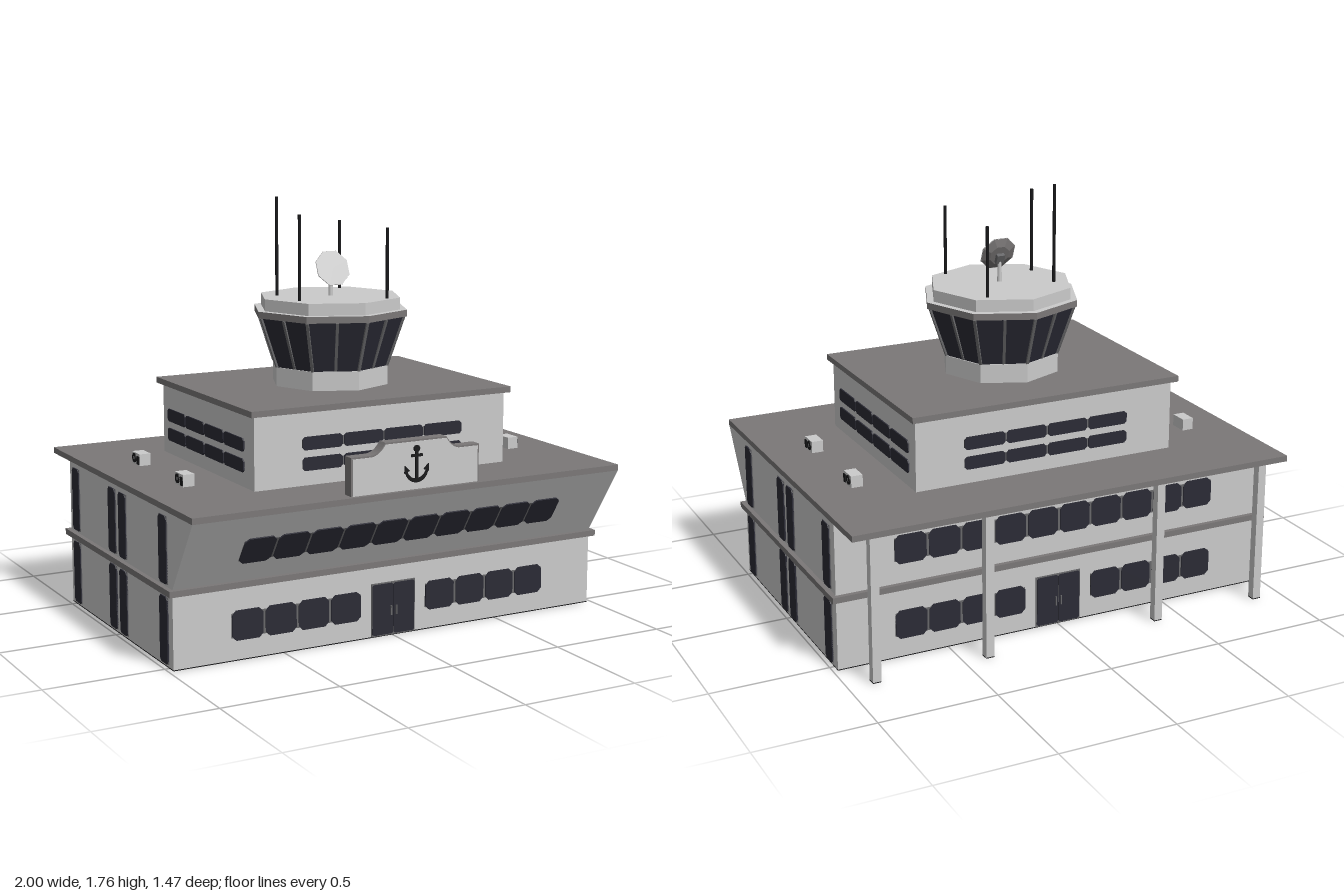
import * as THREE from 'three';

const mat = (name, color) => Object.assign(new THREE.MeshStandardMaterial({ color }), { name });

export function createModel() {
  const model = new THREE.Group();
  model.name = 'harborControlBuilding';
  const wall = mat('lightWall', 0xcbcbcb);
  const trim = mat('roofGrey', 0x7b7878);
  const frame = mat('frameGrey', 0x68686a);
  const glass = mat('darkGlass', 0x2b2b35);
  const black = mat('black', 0x18181a);

  // ---- helpers ----
  const add = (parent, name, geo, material, x = 0, y = 0, z = 0) => {
    const m = new THREE.Mesh(geo, material);
    m.name = name;
    m.position.set(x, y, z);
    parent.add(m);
    return m;
  };
  const box = (parent, name, material, x0, x1, y0, y1, z0, z1) =>
    add(parent, name, new THREE.BoxGeometry(x1 - x0, y1 - y0, z1 - z0), material,
      (x0 + x1) / 2, (y0 + y1) / 2, (z0 + z1) / 2);
  const group = (name, parent = model) => {
    const g = new THREE.Group();
    g.name = name;
    parent.add(g);
    return g;
  };
  const flat = (geo) => {
    const g = geo.toNonIndexed();
    g.computeVertexNormals();
    return g;
  };
  const octagon = (rTop, rBottom, h, open = false) =>
    flat(new THREE.CylinderGeometry(rTop, rBottom, h, 8, 1, open));
  const polygon = (pts) => new THREE.Shape(pts.map(([x, y]) => new THREE.Vector2(x, y)));
  const extrude = (shape, depth) =>
    new THREE.ExtrudeGeometry(shape, { depth, bevelEnabled: false, curveSegments: 8 });

  // Plate with clipped corners, used for every window pane
  const pane = (w, h, c) => {
    const a = w / 2, b = h / 2;
    return extrude(polygon([[-a + c, -b], [a - c, -b], [a, -b + c], [a, b - c],
      [a - c, b], [-a + c, b], [-a, b - c], [-a, -b + c]]), 0.006);
  };
  // Row of panes over a grey backing strip, facing local +z
  const windowRow = (name, count, pitch, w, h, c, backH) => {
    const g = group(name);
    add(g, 'windowFrame', new THREE.BoxGeometry(pitch * (count - 1) + w, backH, 0.006), frame);
    const geo = pane(w, h, c);
    for (let i = 0; i < count; i++) add(g, 'pane', geo, glass, (i - (count - 1) / 2) * pitch, 0, 0.001);
    return g;
  };
  const place = (g, x, y, z, ry = 0, rx = 0) => {
    g.position.set(x, y, z);
    g.rotation.set(rx, ry, 0);
  };

  // ---- main building ----
  box(model, 'groundFloor', wall, -0.98, 0.98, 0.004, 0.31, -0.54, 0.54);
  box(model, 'underside', black, -0.98, 0.98, 0, 0.004, -0.54, 0.54);
  box(model, 'floorBelt', trim, -1, 1, 0.3, 0.325, -0.56, 0.56);
  const upper = extrude(polygon([[-0.54, 0.31], [0.53, 0.31], [0.54, 0.325], [0.735, 0.625], [-0.54, 0.625]]), 1.96);
  upper.translate(0, 0, -0.98);
  upper.rotateY(-Math.PI / 2);
  add(model, 'upperFloor', upper, wall);
  box(model, 'mainRoof', trim, -0.981, 0.981, 0.625, 0.65, -0.735, 0.735);

  // Columns under the rear overhang
  for (const x of [-0.88, -0.39, 0.39, 0.88]) {
    box(model, 'rearColumn', wall, x - 0.018, x + 0.018, 0.004, 0.625, -0.705, -0.669);
    box(model, 'columnFoot', black, x - 0.018, x + 0.018, 0, 0.004, -0.705, -0.669);
  }

  // Long facades: window rows and double doors, front and back
  for (const s of [1, -1]) {
    const ry = s > 0 ? 0 : Math.PI;
    for (const x of [-0.442, 0.442])
      place(windowRow('groundWindows', 4, 0.147, 0.136, 0.122, 0.018, 0.1), x, 0.145, s * 0.541, ry);
    const door = group('doubleDoor');
    add(door, 'doorFrame', new THREE.BoxGeometry(0.206, 0.224, 0.006), frame, 0, 0.112, 0);
    for (const k of [-1, 1]) {
      const leaf = pane(0.097, 0.214, 0.006);
      add(door, 'doorLeaf', leaf, glass, k * 0.05, 0.112, 0.001);
      add(door, 'doorHandle', new THREE.BoxGeometry(0.005, 0.04, 0.006), frame, k * 0.012, 0.105, 0.009);
    }
    place(door, 0, 0.004, s * 0.541, ry);
  }
  const tilt = Math.atan2(0.195, 0.3);
  place(windowRow('slopedWindows', 10, 0.147, 0.136, 0.135, 0.018, 0.11), 0, 0.47, 0.635, 0, tilt);
  place(windowRow('rearUpperWindows', 10, 0.147, 0.136, 0.122, 0.018, 0.1), 0, 0.47, -0.541, Math.PI);

  // Tall windows on both ends
  for (const s of [1, -1])
    for (const z of [0.465, 0.057, -0.053, -0.462])
      for (const [y, h] of [[0.15, 0.27], [0.472, 0.27]])
        place(windowRow('tallWindow', 1, 0, 0.074, h, 0.012, h), s * 0.981, y, z, s * Math.PI / 2);

  // ---- third storey ----
  box(model, 'thirdFloor', wall, -0.585, 0.585, 0.65, 0.955, -0.43, 0.455);
  box(model, 'thirdFloorRoof', trim, -0.606, 0.606, 0.95, 0.975, -0.457, 0.475);
  for (const y of [0.738, 0.822]) {
    const row = () => windowRow('thirdFloorWindows', 4, 0.188, 0.18, 0.054, 0.01, 0.036);
    place(row(), 0, y, 0.456);
    place(row(), 0, y, -0.431, Math.PI);
    for (const s of [1, -1]) place(row(), s * 0.586, y, 0, s * Math.PI / 2);
  }

  // ---- sign board with anchor ----
  const sign = group('signBoard');
  const outline = (e) => {
    const s = new THREE.Shape();
    s.moveTo(-0.295 + e, 0);
    s.lineTo(0.295 - e, 0);
    s.lineTo(0.295 - e, 0.155 - e);
    s.lineTo(0.2, 0.155 - e);
    s.quadraticCurveTo(0.165, 0.16 - e, 0.14, 0.2 - e);
    s.lineTo(-0.14, 0.2 - e);
    s.quadraticCurveTo(-0.165, 0.16 - e, -0.2, 0.155 - e);
    s.lineTo(-0.295 + e, 0.155 - e);
    return s;
  };
  add(sign, 'signBody', extrude(outline(0), 0.047), trim);
  add(sign, 'signFace', extrude(outline(0.007), 0.004), wall, 0, 0, 0.046);
  sign.position.set(0, 0.65, 0.667);
  const anchor = group('anchor', sign);
  anchor.position.set(0, 0, 0.052);
  box(anchor, 'shank', black, -0.006, 0.006, 0.03, 0.155, -0.002, 0.004);
  box(anchor, 'stock', black, -0.026, 0.026, 0.132, 0.143, -0.002, 0.004);
  add(anchor, 'ring', extrude(new THREE.Shape().absarc(0, 0, 0.014, 0, Math.PI * 2), 0.006).translate(0, 0, -0.002), black, 0, 0.165, 0);
  const arms = new THREE.Shape();
  arms.absarc(0, 0.08, 0.052, Math.PI * 1.04, Math.PI * 1.96, false);
  arms.absarc(0, 0.09, 0.046, Math.PI * 1.92, Math.PI * 1.08, true);
  add(anchor, 'arms', extrude(arms, 0.006), black, 0, 0, -0.002);
  for (const s of [-1, 1]) {
    const tip = s > 0 ? [[0.032, 0.078], [0.056, 0.068], [0.054, 0.1]] : [[-0.056, 0.068], [-0.032, 0.078], [-0.054, 0.1]];
    add(anchor, 'fluke', extrude(polygon(tip), 0.006), black, 0, 0, -0.002);
  }

  // ---- roof air units ----
  for (const s of [1, -1])
    for (const k of [1, -1]) {
      const u = group('airUnit');
      u.position.set(s * 0.775, 0.65, k > 0 ? 0.21 : -0.235);
      box(u, 'unitCase', wall, -0.025, 0.025, 0, 0.05, -0.04, 0.04);
      const x = s * 0.026;
      const fan = add(u, 'fanGrille', new THREE.CylinderGeometry(0.02, 0.02, 0.006, 12), black, x, 0.027, -0.012);
      fan.rotation.z = Math.PI / 2;
      add(u, 'fanHub', new THREE.BoxGeometry(0.008, 0.012, 0.012), frame, x, 0.027, -0.012);
      add(u, 'servicePanel', new THREE.BoxGeometry(0.006, 0.034, 0.02), black, x, 0.022, 0.027);
    }

  // ---- control tower ----
  const tower = group('controlTower');
  add(tower, 'towerBase', octagon(0.255, 0.255, 0.085), wall, 0, 1.0125, 0);
  add(tower, 'towerGlass', octagon(0.323, 0.25, 0.212), glass, 0, 1.161, 0);
  const lean = Math.atan2(0.073, 0.212);
  for (let i = 0; i < 16; i++) {
    const post = group('mullion', tower);
    post.rotation.y = i * Math.PI / 8;
    const r = 0.2865 * (i % 2 ? Math.cos(Math.PI / 8) : 1);
    add(post, 'mullionBar', new THREE.BoxGeometry(0.012, 0.222, 0.012), frame, 0, 1.161, r).rotation.x = lean;
  }
  const ledge = new THREE.CylinderGeometry(0.337, 0.337, 0.028, 8).toNonIndexed();
  ledge.computeVertexNormals();
  const ledgeSource = new THREE.CylinderGeometry(0.337, 0.337, 0.028, 8);
  ledgeSource.groups.forEach((g) => ledge.addGroup(g.start, g.count, g.materialIndex));
  add(tower, 'towerLedge', ledge, [trim, wall, trim], 0, 1.281, 0);
  add(tower, 'towerCap', octagon(0.307, 0.307, 0.05), wall, 0, 1.32, 0);

  // Antennas
  for (const [x, z, top] of [[0.155, -0.197, 1.64], [0.155, 0.215, 1.64], [-0.2, 0.107, 1.7], [-0.2, -0.1, 1.76]])
    add(model, 'antenna', new THREE.CylinderGeometry(0.007, 0.007, top - 1.34, 8), black, x, (top + 1.34) / 2, z);

  // Dish on its mast, leaning back
  add(model, 'dishMast', new THREE.CylinderGeometry(0.008, 0.011, 0.1, 8), wall, 0, 1.39, 0.008);
  const dish = group('dish');
  dish.position.set(0, 1.46, 0.02);
  dish.rotation.x = -0.4;
  const turn = (geo) => flat(geo.rotateY(Math.PI / 8).rotateX(Math.PI / 2));
  add(dish, 'dishBack', turn(new THREE.CylinderGeometry(0.081, 0.045, 0.016, 8)), trim, 0, 0, -0.004);
  add(dish, 'dishFace', turn(new THREE.CylinderGeometry(0.08, 0.08, 0.004, 8)), wall, 0, 0, 0.005);
  add(dish, 'dishMount', new THREE.BoxGeometry(0.035, 0.04, 0.02), frame, 0, -0.01, -0.02);

  return model;
}
